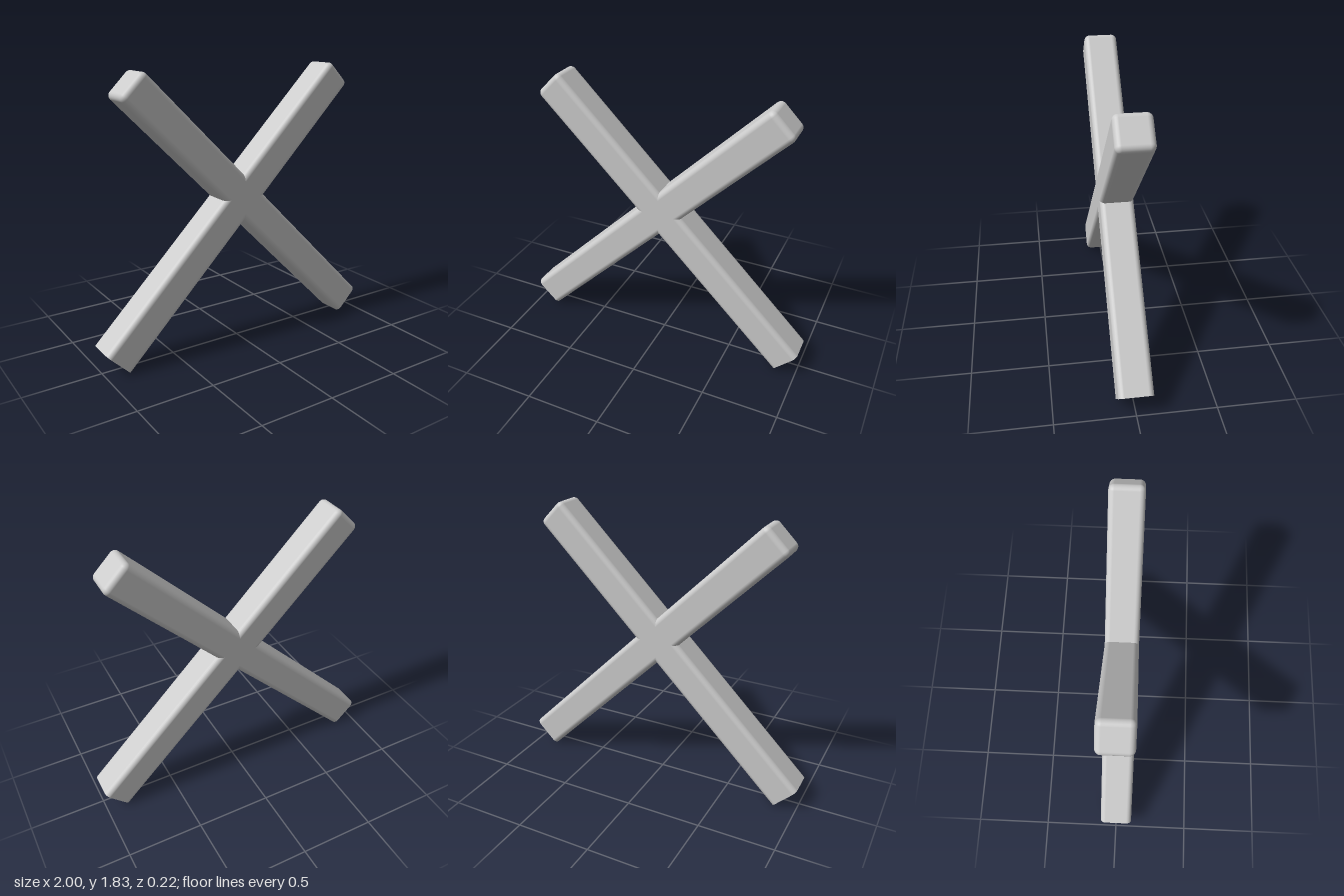
import * as THREE from 'three';

const HALF = 0.109;    // half the bar's thickness
const RADIUS = 0.035;  // edge rounding
const BOTTOM = -1.305; // open foot, measured from the crossing
const TOP = 1.085;     // rounded tip, measured from the crossing
const STEPS = 6;       // segments per rounded quarter

// Square tube with rounded edges along y: open at the foot, closed and rounded at the tip
function barGeometry() {
  const positions = [], normals = [], index = [];
  const inner = HALF - RADIUS;
  const count = 4 * (STEPS + 1);

  const addRing = (y, tilt) => {
    for (let corner = 0; corner < 4; corner++) {
      const mid = (corner + 0.5) * Math.PI / 2;
      const cx = Math.sign(Math.cos(mid)) * inner, cz = Math.sign(Math.sin(mid)) * inner;
      for (let s = 0; s <= STEPS; s++) {
        const a = (corner + s / STEPS) * Math.PI / 2;
        const nx = Math.cos(a) * Math.cos(tilt), nz = Math.sin(a) * Math.cos(tilt);
        positions.push(cx + RADIUS * nx, y, cz + RADIUS * nz);
        normals.push(nx, Math.sin(tilt), nz);
      }
    }
  };

  // Straight length, then the rounding into the tip
  addRing(BOTTOM, 0);
  for (let s = 0; s <= STEPS; s++) {
    const tilt = s / STEPS * Math.PI / 2;
    addRing(TOP - RADIUS + RADIUS * Math.sin(tilt), tilt);
  }
  const rings = STEPS + 2;
  for (let r = 0; r < rings - 1; r++) {
    for (let i = 0; i < count; i++) {
      const a = r * count + i, b = r * count + (i + 1) % count;
      index.push(a, a + count, b, b, a + count, b + count);
    }
  }

  // Flat cap at the tip
  const centre = positions.length / 3, last = (rings - 1) * count;
  positions.push(0, TOP, 0);
  normals.push(0, 1, 0);
  for (let i = 0; i < count; i++) index.push(centre, last + (i + 1) % count, last + i);

  const geometry = new THREE.BufferGeometry();
  geometry.setAttribute('position', new THREE.Float32BufferAttribute(positions, 3));
  geometry.setAttribute('normal', new THREE.Float32BufferAttribute(normals, 3));
  geometry.setIndex(index);
  return geometry;
}

export function createModel() {
  const model = new THREE.Group();
  model.name = 'crossedBars';
  const material = new THREE.MeshStandardMaterial({ color: 0xcccccc, side: THREE.DoubleSide });
  const geometry = barGeometry();

  // Two identical bars crossing at right angles
  for (const [name, side] of [['barLeaningLeft', 1], ['barLeaningRight', -1]]) {
    const bar = new THREE.Mesh(geometry, material);
    bar.name = name;
    bar.position.y = 1;
    bar.rotation.z = -side * Math.PI / 4;
    model.add(bar);
  }
  return model;
}
